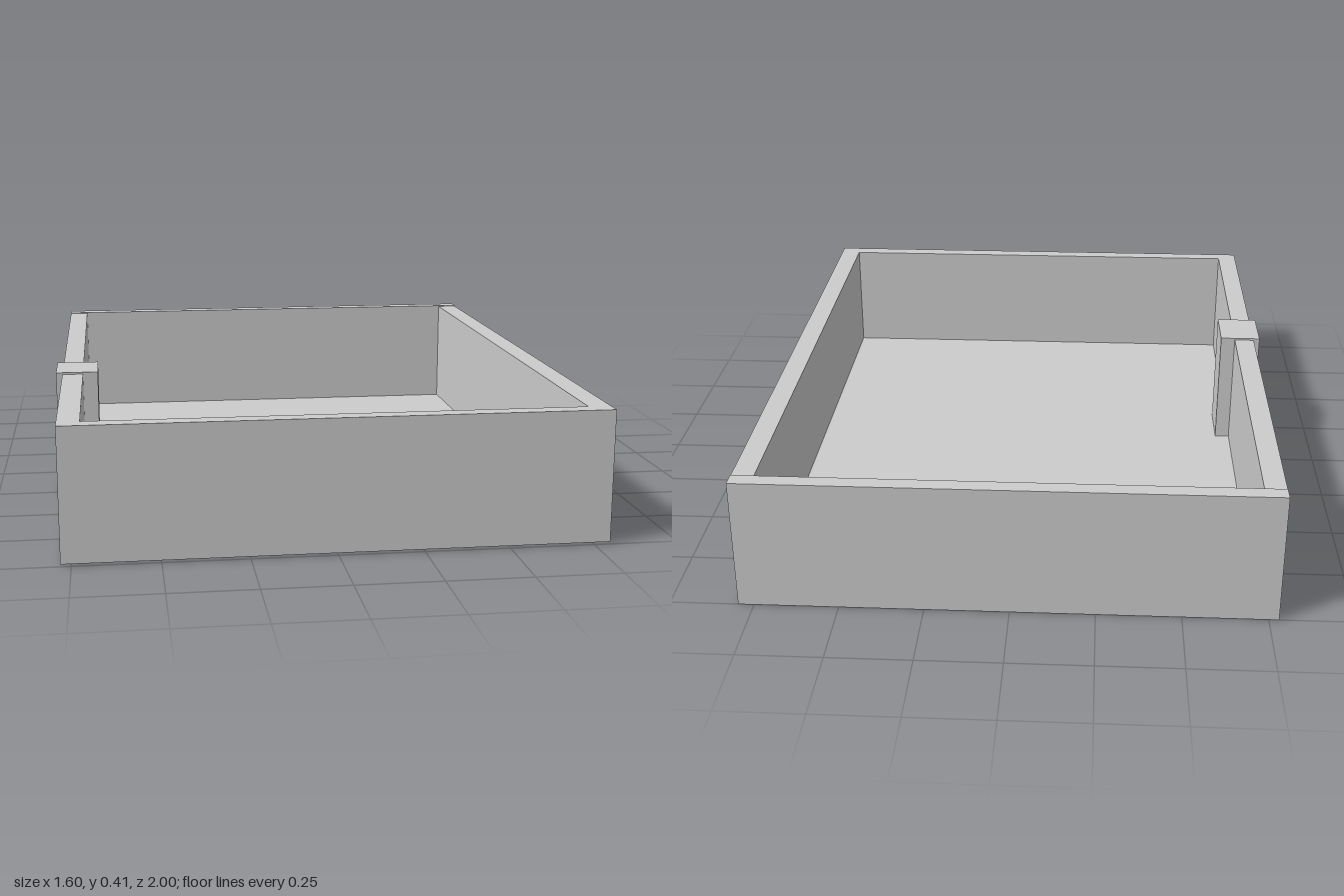
import * as THREE from 'three';

export function createModel() {
  const model = new THREE.Group();
  const material = new THREE.MeshStandardMaterial({ color: 0xcccccc, flatShading: true });

  // Box given by its lower and upper corners
  function block(name, [x0, y0, z0], [x1, y1, z1]) {
    const mesh = new THREE.Mesh(new THREE.BoxGeometry(x1 - x0, y1 - y0, z1 - z0), material);
    mesh.name = name;
    mesh.position.set((x0 + x1) / 2, (y0 + y1) / 2, (z0 + z1) / 2);
    model.add(mesh);
  }

  const bottom = 0.007, top = 0.4;

  // Thin floor, recessed above the bottom rim
  block('floor', [-0.715, 0.02, -0.95], [0.73, 0.026, 0.95]);

  // Four walls; the back one is slightly taller at both ends
  block('backWall', [-0.78, 0, -1], [0.797, 0.403, -0.95]);
  block('frontWall', [-0.78, bottom, 0.95], [0.797, top, 1]);
  block('leftWall', [0.73, bottom, -0.95], [0.797, top, 0.95]);
  block('rightWall', [-0.78, bottom, -0.95], [-0.715, top, 0.95]);

  // Post straddling the right wall
  block('post', [-0.8, 0.005, 0.12], [-0.668, 0.406, 0.292]);

  return model;
}
